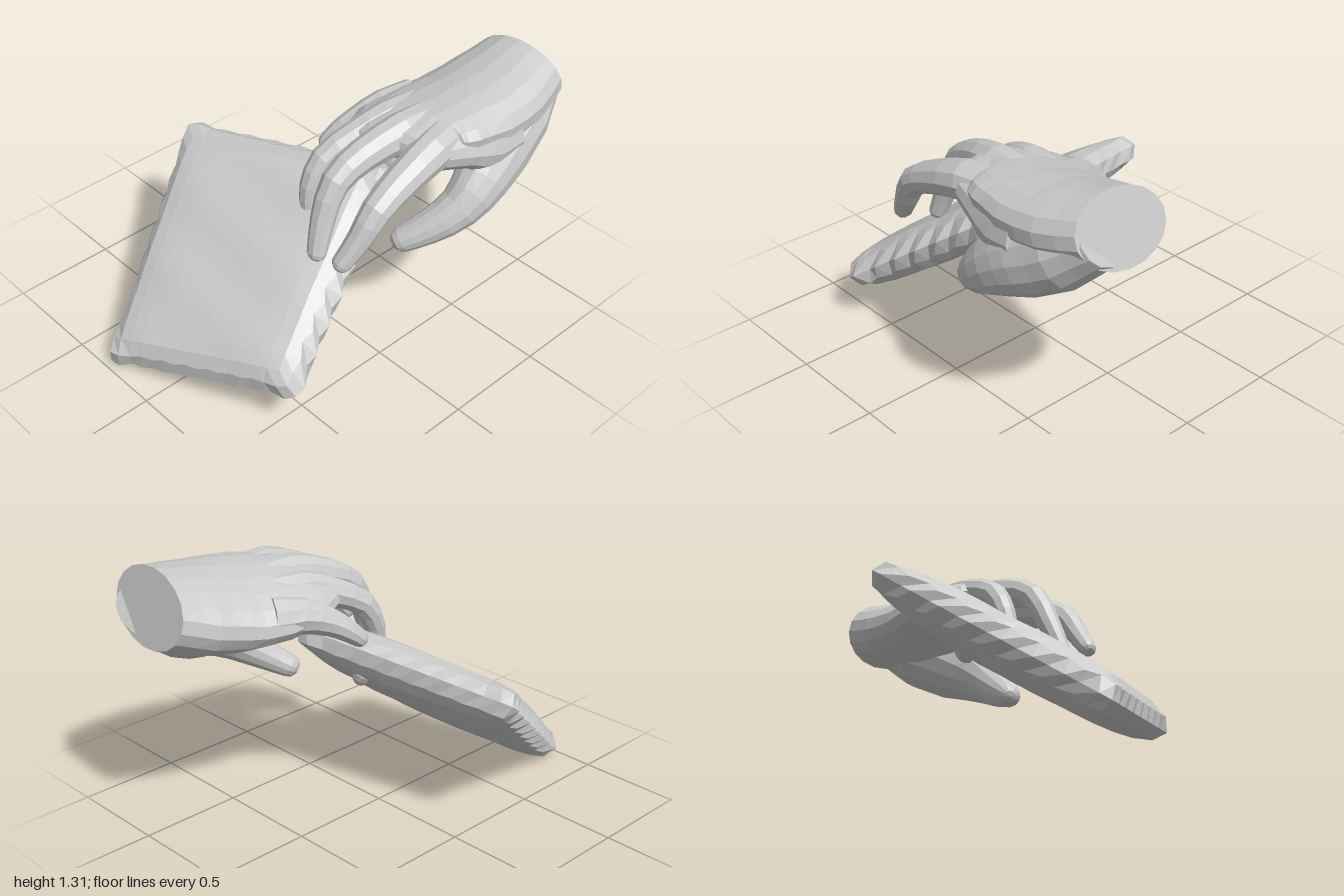
import * as THREE from 'three';

const V = (a) => new THREE.Vector3(...a);
const material = new THREE.MeshStandardMaterial({ color: 0xcccccc, flatShading: true });

// Tapered limb. Each section is [x, y, z, half height, half width].
// The start is flat, the end is rounded off over the given length.
function limb(name, sections, sides, tipLength, sideHint = [0, 0, 1]) {
  const curve = new THREE.CatmullRomCurve3(sections.map((s) => V(s)));
  const spans = sections.length - 1, steps = spans * 2;
  const rings = [];
  for (let i = 0; i <= steps; i++) {
    const t = i / steps, k = Math.min(Math.floor(t * spans), spans - 1), f = t * spans - k;
    const mix = (n) => THREE.MathUtils.lerp(sections[k][n], sections[k + 1][n], f);
    rings.push({ p: curve.getPoint(t), T: curve.getTangent(t), h: mix(3), w: mix(4) });
  }
  const end = rings[steps];
  for (const [d, s] of [[0.55, 0.82], [0.88, 0.48], [1, 0]]) {
    rings.push({
      p: end.p.clone().addScaledVector(end.T, d * tipLength), T: end.T, h: end.h * s, w: end.w * s,
    });
  }
  rings.unshift({ ...rings[0], h: 0, w: 0 });

  const positions = [], index = [];
  rings.forEach(({ p, T, h, w }, i) => {
    const S = V(sideHint);
    S.addScaledVector(T, -S.dot(T)).normalize();
    const U = T.clone().cross(S);
    for (let j = 0; j < sides; j++) {
      const a = (j / sides) * Math.PI * 2;
      const q = p.clone().addScaledVector(S, Math.cos(a) * w).addScaledVector(U, Math.sin(a) * h);
      positions.push(q.x, q.y, q.z);
      if (i === 0) continue;
      const n = (j + 1) % sides, lo = (i - 1) * sides, hi = i * sides;
      index.push(lo + j, lo + n, hi + j, lo + n, hi + n, hi + j);
    }
  });
  const geometry = new THREE.BufferGeometry();
  geometry.setAttribute('position', new THREE.Float32BufferAttribute(positions, 3));
  geometry.setIndex(index);
  geometry.computeVertexNormals();
  const mesh = new THREE.Mesh(geometry, material);
  mesh.name = name;
  return mesh;
}

// Thick tilted slab: a box bent onto four corners, puffed in the middle,
// with a faceted rim along its front and back edges and smoother ends.
function slab() {
  const A = V([-0.955, 0.06, -0.29]), B = V([-0.09, 0.735, -0.72]);
  const C = V([0.2, 0.88, 0.31]), D = V([-0.64, 0.28, 0.605]);
  const normal = V([-0.61, 0.79, 0.03]).normalize();
  const centre = A.clone().add(B).add(C).add(D).multiplyScalar(0.25);
  const geometry = new THREE.BoxGeometry(2, 2, 2, 16, 2, 16);
  const pos = geometry.attributes.position;
  for (let i = 0; i < pos.count; i++) {
    const u = pos.getX(i), v = pos.getY(i), w = pos.getZ(i);
    const s = (u + 1) / 2, t = (w + 1) / 2;
    const p = A.clone().lerp(B, s).lerp(D.clone().lerp(C, s), t);
    const far = Math.max(Math.abs(u), Math.abs(w)), near = Math.min(Math.abs(u), Math.abs(w));
    const puff = Math.sqrt((1 - u ** 4) * (1 - w ** 4));
    const outward = p.clone().sub(centre).projectOnPlane(normal).normalize();
    let half = 0.06 + 0.058 * puff;
    if (far > 0.99) {
      const middle = v === 0;
      const tooth = Math.round((u + w) * 8) % 2 ? 1 : -1;
      const ragged = near > 0.99 ? 0 : tooth * (Math.abs(w) > 0.99 ? 0.013 : 0.004);
      p.addScaledVector(outward, middle ? 0.024 + ragged : -0.012 - ragged);
      half += ragged * 0.5;
      // blunt the corners
      if (near > 0.8 && near < 0.99) p.addScaledVector(outward, 0.018);
    }
    // slight unevenness of the faces
    half += 0.004 * Math.sin(u * 9 + w * 4) * puff;
    p.addScaledVector(normal, v * half);
    pos.setXYZ(i, p.x, p.y, p.z);
  }
  geometry.computeVertexNormals();
  const mesh = new THREE.Mesh(geometry, material);
  mesh.name = 'slab';
  return mesh;
}

export function createModel() {
  const model = new THREE.Group();
  model.name = 'handOnSlab';
  model.add(slab());

  const hand = new THREE.Group();
  hand.name = 'hand';
  model.add(hand);

  // Wrist and palm, sloping down toward the little finger
  hand.add(limb('palm', [
    [0.958, 1.165, 0.42, 0.17, 0.245],
    [0.78, 1.115, 0.42, 0.175, 0.3],
    [0.6, 1.09, 0.405, 0.165, 0.325],
    [0.42, 1.09, 0.365, 0.135, 0.335],
    [0.28, 1.1, 0.355, 0.108, 0.305],
    [0.16, 1.11, 0.385, 0.08, 0.245],
  ], 18, 0.07, [0, 0.22, 1]));

  // Thumb with its broad base running back to the wrist
  hand.add(limb('thumb', [
    [0.92, 1.14, 0.46, 0.13, 0.19],
    [0.75, 1.03, 0.52, 0.175, 0.2],
    [0.59, 0.945, 0.59, 0.175, 0.16],
    [0.47, 0.87, 0.63, 0.14, 0.122],
    [0.35, 0.775, 0.62, 0.1, 0.1],
    [0.23, 0.685, 0.55, 0.076, 0.08],
    [0.14, 0.62, 0.475, 0.058, 0.062],
  ], 14, 0.05));

  // Web between thumb and index finger
  hand.add(limb('thumbWeb', [
    [0.62, 1.06, 0.58, 0.16, 0.15],
    [0.5, 1.05, 0.59, 0.14, 0.135],
    [0.38, 1.08, 0.58, 0.1, 0.115],
    [0.24, 1.11, 0.57, 0.085, 0.085],
  ], 12, 0.05));

  const fingers = {
    indexFinger: [
      [0.4, 1.13, 0.52, 0.09, 0.1],
      [0.2, 1.125, 0.565, 0.092, 0.09],
      [0.0, 1.065, 0.575, 0.076, 0.08],
      [-0.14, 0.995, 0.58, 0.066, 0.07],
      [-0.22, 0.88, 0.565, 0.054, 0.058],
      [-0.3, 0.765, 0.535, 0.042, 0.046],
    ],
    middleFinger: [
      [0.4, 1.13, 0.4, 0.09, 0.1],
      [0.2, 1.14, 0.39, 0.088, 0.092],
      [0.0, 1.09, 0.35, 0.074, 0.078],
      [-0.14, 1.01, 0.33, 0.064, 0.068],
      [-0.22, 0.85, 0.335, 0.054, 0.058],
      [-0.275, 0.7, 0.355, 0.042, 0.046],
    ],
    ringFinger: [
      [0.42, 1.11, 0.28, 0.09, 0.09],
      [0.25, 1.11, 0.25, 0.084, 0.09],
      [0.1, 1.065, 0.2, 0.07, 0.072],
      [-0.04, 0.985, 0.15, 0.06, 0.063],
      [-0.11, 0.86, 0.14, 0.05, 0.054],
      [-0.13, 0.75, 0.15, 0.04, 0.044],
    ],
    littleFinger: [
      [0.5, 1.06, 0.17, 0.1, 0.11],
      [0.37, 1.05, 0.115, 0.085, 0.092],
      [0.25, 1.0, 0.055, 0.066, 0.068],
      [0.18, 0.95, 0.015, 0.054, 0.058],
      [0.13, 0.905, -0.01, 0.042, 0.046],
    ],
  };
  for (const [name, sections] of Object.entries(fingers)) hand.add(limb(name, sections, 10, 0.035));

  // Small rounded tip showing through the underside of the slab
  const tip = new THREE.Mesh(new THREE.SphereGeometry(1, 10, 7), material);
  tip.name = 'undersideTip';
  tip.scale.set(0.05, 0.068, 0.046);
  tip.position.set(0.06, 0.69, 0.04);
  tip.rotation.x = -0.6;
  hand.add(tip);

  return model;
}
